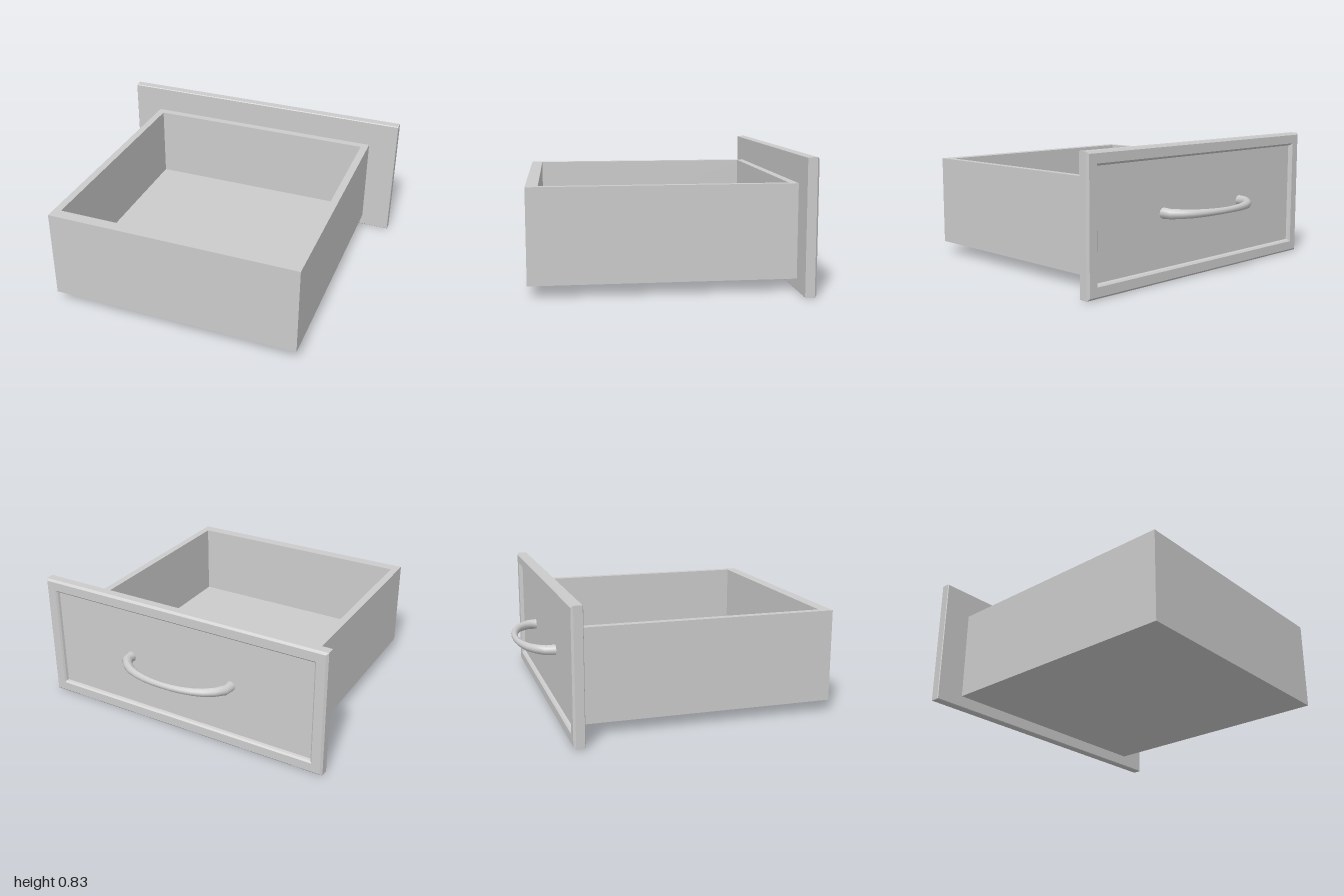
import * as THREE from 'three';

const material = new THREE.MeshStandardMaterial({ color: 0xcccccc });

function addMesh(parent, name, geometry) {
  const mesh = new THREE.Mesh(geometry, material);
  mesh.name = name;
  parent.add(mesh);
  return mesh;
}

// Box given by its minimum and maximum corners
function addBox(parent, name, [x0, y0, z0], [x1, y1, z1]) {
  const mesh = addMesh(parent, name, new THREE.BoxGeometry(x1 - x0, y1 - y0, z1 - z0));
  mesh.position.set((x0 + x1) / 2, (y0 + y1) / 2, (z0 + z1) / 2);
}

// Panel skinned over rectangular rings [inset, z], listed towards -z, capped at both ends
function panelGeometry(halfWidth, height, rings) {
  const positions = [];
  const index = [];
  for (const [inset, z] of rings) {
    const x = halfWidth - inset;
    const top = height - inset;
    positions.push(-x, inset, z, x, inset, z, x, top, z, -x, top, z);
  }
  const quad = (a, b, c, d) => index.push(a, b, c, a, c, d);
  quad(0, 1, 2, 3);
  for (let r = 0; r < rings.length - 1; r++) {
    for (let i = 0; i < 4; i++) {
      const a = r * 4 + i;
      const b = r * 4 + (i + 1) % 4;
      quad(a, a + 4, b + 4, b);
    }
  }
  const last = (rings.length - 1) * 4;
  quad(last + 3, last + 2, last + 1, last);
  const indexed = new THREE.BufferGeometry();
  indexed.setAttribute('position', new THREE.Float32BufferAttribute(positions, 3));
  indexed.setIndex(index);
  const geometry = indexed.toNonIndexed();
  geometry.computeVertexNormals();
  return geometry;
}

// Bowed tube, thick at its feet and slim in the middle
function handleGeometry() {
  const half = [[0.365, -0.72], [0.365, -0.775], [0.275, -0.865], [0.15, -0.91]];
  const points = [
    ...half.map(([x, z]) => new THREE.Vector3(x, 0, z)),
    new THREE.Vector3(0, 0, -0.925),
    ...half.slice().reverse().map(([x, z]) => new THREE.Vector3(-x, 0, z)),
  ];
  const path = new THREE.CatmullRomCurve3(points, false, 'centripetal');
  const segments = 14;
  const sides = 12;
  const geometry = new THREE.TubeGeometry(path, segments, 0.02, sides, false);
  const position = geometry.attributes.position;
  const vertex = new THREE.Vector3();
  for (let i = 0; i < position.count; i++) {
    const u = Math.floor(i / (sides + 1)) / segments;
    const centre = path.getPointAt(u);
    const thickness = 1 + 0.75 * Math.abs(2 * u - 1) ** 1.5;
    vertex.fromBufferAttribute(position, i).sub(centre).multiplyScalar(thickness).add(centre);
    position.setXYZ(i, vertex.x, vertex.y, vertex.z);
  }
  geometry.computeVertexNormals();
  return geometry;
}

export function createModel() {
  const model = new THREE.Group();
  model.name = 'drawer';

  // Open tray
  const tray = new THREE.Group();
  tray.name = 'tray';
  model.add(tray);
  const bottom = 0.075, floor = 0.17, top = 0.66;
  const outer = 0.81, inner = 0.762;
  const near = 0.94, nearInner = 0.865, far = -0.688, farInner = -0.635;
  addBox(tray, 'trayFloor', [-inner, bottom, farInner], [inner, floor, nearInner]);
  addBox(tray, 'leftWall', [inner, bottom, far], [outer, top, near]);
  addBox(tray, 'rightWall', [-outer, bottom, far], [-inner, top, near]);
  addBox(tray, 'endWall', [-inner, bottom, nearInner], [inner, top, near]);
  addBox(tray, 'panelWall', [-inner, bottom, far], [inner, top, farInner]);

  // Face panel with chamfered rim and recessed field
  addMesh(model, 'facePanel', panelGeometry(1, 0.832, [
    [0.004, -0.685], [0, -0.689], [0, -0.742], [0.013, -0.755],
    [0.07, -0.755], [0.08, -0.745], [0.085, -0.73],
  ]));

  // Pull handle
  addMesh(model, 'handle', handleGeometry()).position.y = 0.42;

  return model;
}
